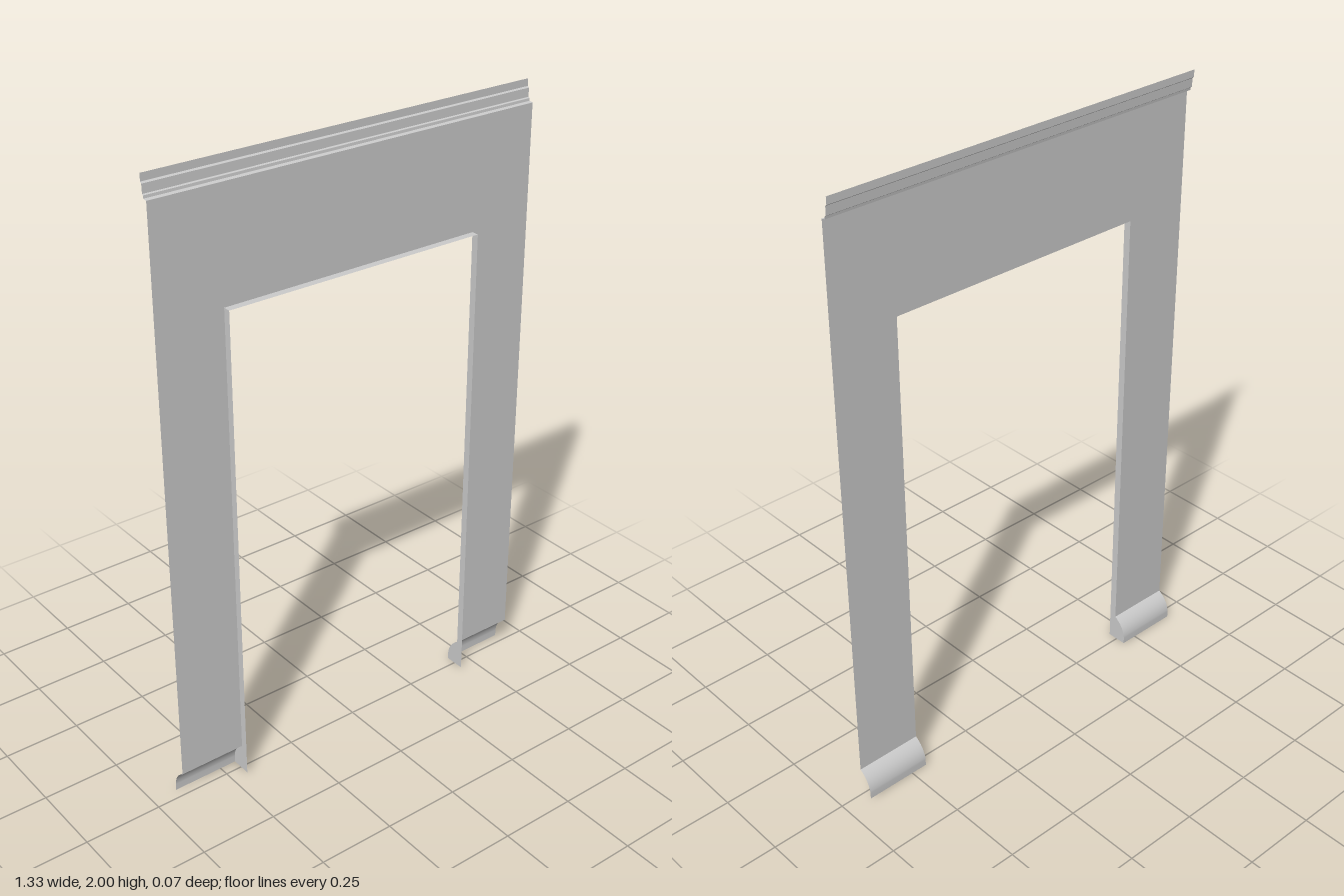
import * as THREE from 'three';

const W = 0.665, OPEN = 0.445, HEAD = 1.58;    // half width, half opening, opening height
const WALL_Z = 0.01, REVEAL_Z = 0.034;
const FOOT_Y = 0.09, CORNICE_Y = 1.933;

const flatMat = new THREE.MeshStandardMaterial({ color: 0xcccccc, side: THREE.DoubleSide, flatShading: true });
const smoothMat = new THREE.MeshStandardMaterial({ color: 0xcccccc, side: THREE.DoubleSide });

// Sweeps a [z, y] profile along x as an open sheet, facing -z when the profile climbs
function sheet(profile, x0, x1) {
  const pos = [], idx = [];
  profile.forEach(([z, y], i) => {
    pos.push(x0, y, z, x1, y, z);
    if (i) {
      const a = 2 * i - 2;
      idx.push(a, a + 2, a + 1, a + 1, a + 2, a + 3);
    }
  });
  const g = new THREE.BufferGeometry();
  g.setAttribute('position', new THREE.Float32BufferAttribute(pos, 3));
  g.setIndex(idx);
  g.computeVertexNormals();
  return g;
}

export function createModel() {
  const group = new THREE.Group();
  const add = (name, geometry, material = flatMat) => {
    const mesh = new THREE.Mesh(geometry, material);
    mesh.name = name;
    group.add(mesh);
    return mesh;
  };

  // Wall panel around the doorway, facing -z
  const wall = new THREE.Shape([
    [-W, FOOT_Y], [-OPEN, FOOT_Y], [-OPEN, HEAD], [OPEN, HEAD],
    [OPEN, FOOT_Y], [W, FOOT_Y], [W, CORNICE_Y], [-W, CORNICE_Y],
  ].map(([x, y]) => new THREE.Vector2(x, y)));
  const panel = add('wallPanel', new THREE.ShapeGeometry(wall).rotateY(Math.PI));
  panel.position.z = WALL_Z;

  // Stepped cornice strip along the top
  add('cornice', sheet([
    [WALL_Z, CORNICE_Y], [-0.003, 1.935], [-0.004, 1.943], [-0.008, 1.946],
    [-0.009, 1.973], [-0.014, 1.977], [-0.014, 2],
  ], -W, W));

  // Underside of the doorway head
  add('headReveal', sheet([[WALL_Z, HEAD], [REVEAL_Z, HEAD]], -OPEN, OPEN));

  // Rounded skirting profile, from the floor up to the wall
  const curve = new THREE.QuadraticBezierCurve(
    new THREE.Vector2(-0.034, 0.022), new THREE.Vector2(-0.03, 0.066), new THREE.Vector2(WALL_Z, FOOT_Y));
  const skirting = [[-0.034, 0], ...curve.getPoints(12).map(p => [p.x, p.y])];

  // Jamb faces include the end of the skirting
  const jamb = new THREE.Shape([...skirting, [WALL_Z, HEAD], [REVEAL_Z, HEAD], [REVEAL_Z, 0]]
    .map(([z, y]) => new THREE.Vector2(-z, y)));

  for (const [side, s] of [['left', 1], ['right', -1]]) {
    add(side + 'Skirting', sheet(skirting, s > 0 ? OPEN : -W, s > 0 ? W : -OPEN), smoothMat);
    const face = add(side + 'Jamb', new THREE.ShapeGeometry(jamb).rotateY(Math.PI / 2));
    face.position.x = s * OPEN;
  }
  return group;
}
